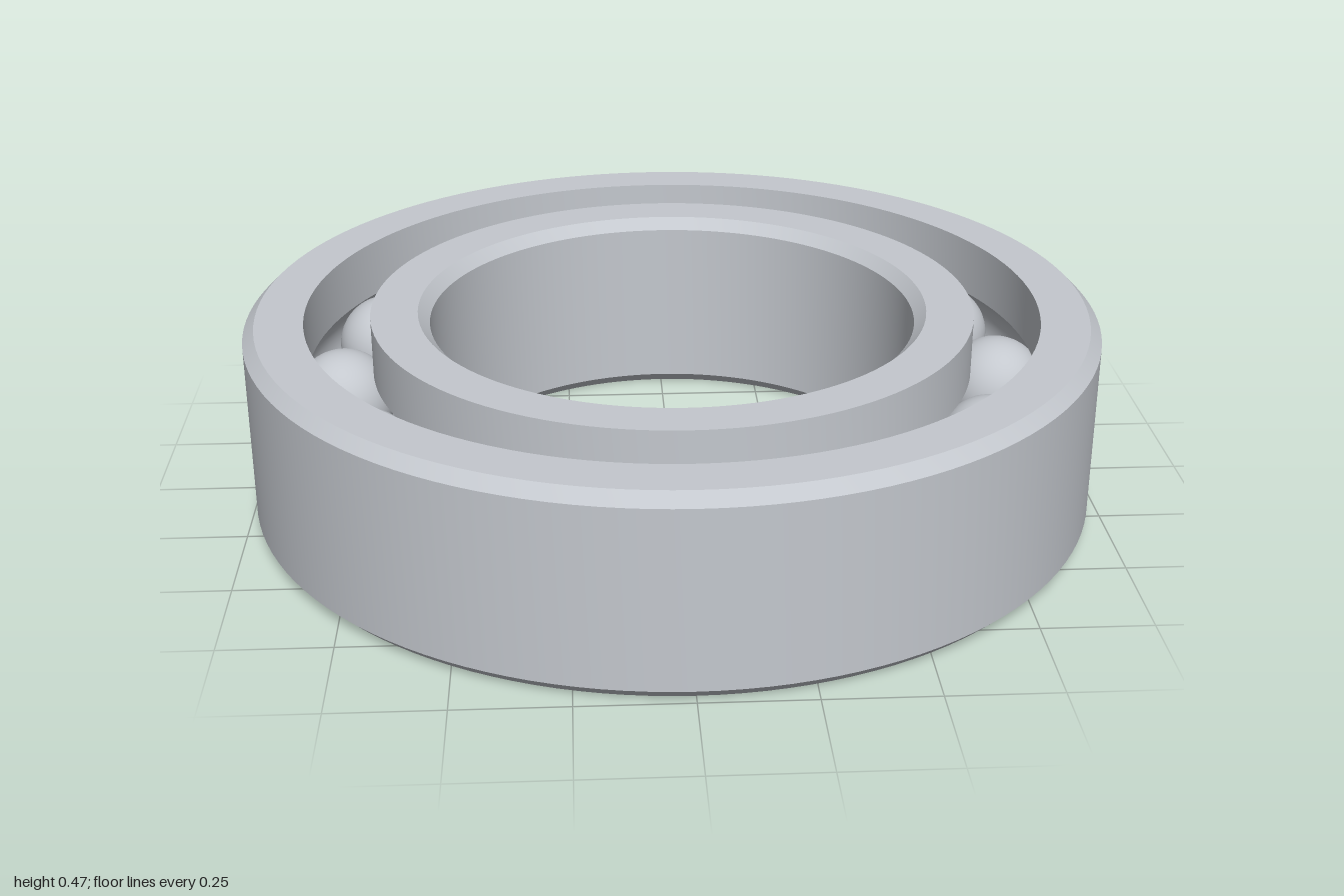
import * as THREE from 'three';
import { toCreasedNormals } from 'three/addons/utils/BufferGeometryUtils.js';

const H = 0.467;          // ring height
const C = 0.027;          // chamfer
const PITCH = 0.783;      // radius of the ball circle
const BALL = 0.12;
const GROOVE = 0.122;     // raceway radius, a hair larger than the balls
const BALLS = 14;

// Raceway arc cut into a ring wall at radius wall; side is +1 outer, -1 inner
function raceway(wall, side) {
  const a = Math.acos(Math.abs(wall - PITCH) / GROOVE);
  const points = [];
  for (let i = 0; i <= 16; i++) {
    const t = side * a * (1 - i / 8);
    points.push([PITCH + side * GROOVE * Math.cos(t), H / 2 + GROOVE * Math.sin(t)]);
  }
  return points;
}

// Closed counterclockwise profile spun round the y axis
function ring(name, profile, material) {
  const points = [...profile, profile[0]].map(([r, y]) => new THREE.Vector2(r, y));
  const geometry = toCreasedNormals(new THREE.LatheGeometry(points, 128), 0.5);
  const mesh = new THREE.Mesh(geometry, material);
  mesh.name = name;
  return mesh;
}

export function createModel() {
  const group = new THREE.Group();
  group.name = 'ballBearing';
  const steel = new THREE.MeshStandardMaterial({ color: 0xc4c8ce });
  steel.name = 'steel';

  // Outer ring, chamfered on its outside edges
  group.add(ring('outerRing', [
    [0.86, 0], [1 - C, 0], [1, C], [1, H - C], [1 - C, H], [0.86, H],
    ...raceway(0.86, 1),
  ], steel));

  // Inner ring, chamfered at the bore
  const bore = 0.57;
  group.add(ring('innerRing', [
    [bore + C, 0], [0.707, 0],
    ...raceway(0.707, -1),
    [0.707, H], [bore + C, H], [bore, H - C], [bore, C],
  ], steel));

  // Balls evenly spaced in the raceway
  const balls = new THREE.Group();
  balls.name = 'balls';
  const sphere = new THREE.SphereGeometry(BALL, 40, 24);
  for (let i = 0; i < BALLS; i++) {
    const angle = (i / BALLS) * Math.PI * 2;
    const ball = new THREE.Mesh(sphere, steel);
    ball.name = 'ball';
    ball.position.set(PITCH * Math.cos(angle), H / 2, PITCH * Math.sin(angle));
    balls.add(ball);
  }
  group.add(balls);
  return group;
}
